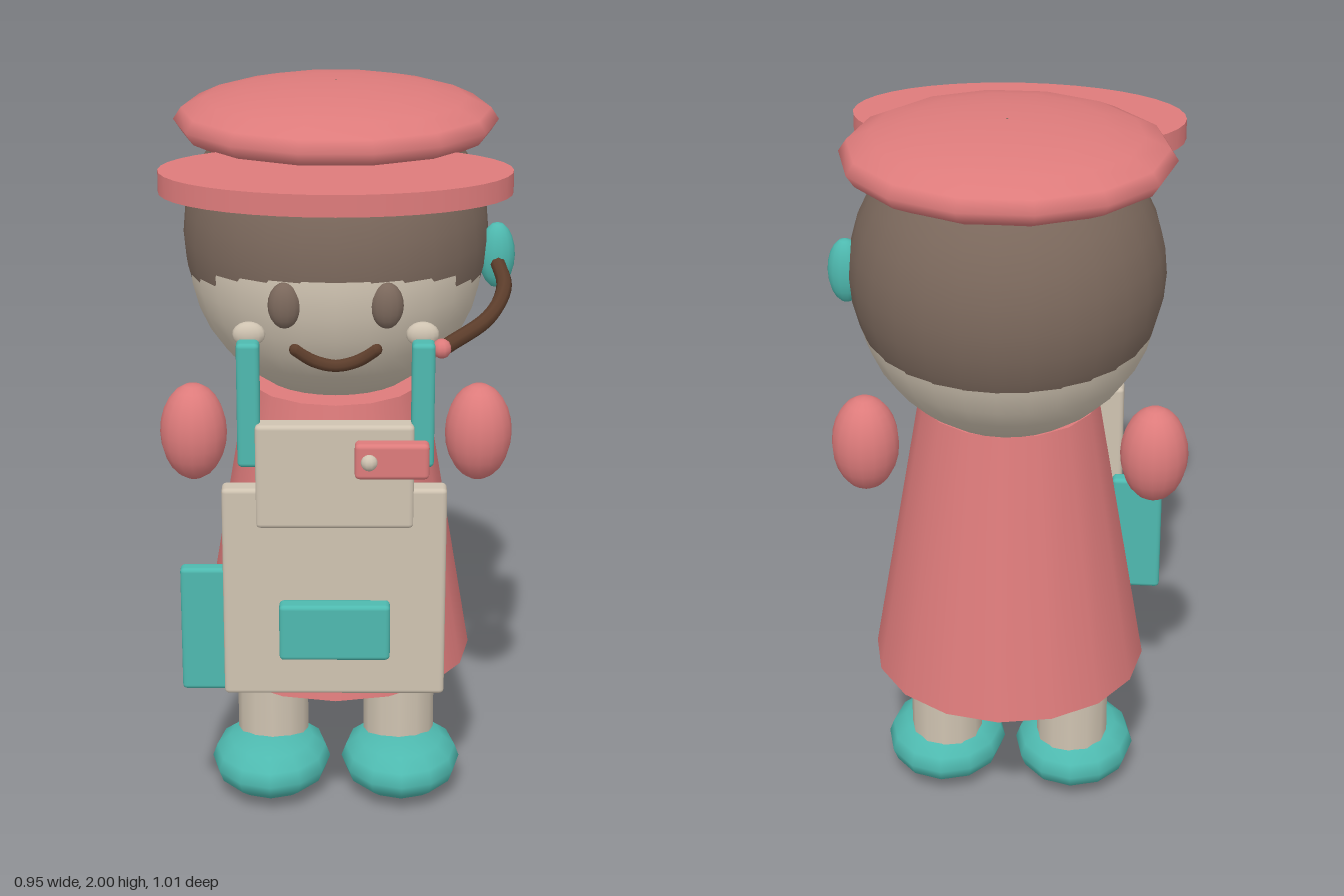
import * as THREE from 'three';
import { RoundedBoxGeometry } from 'three/addons/geometries/RoundedBoxGeometry.js';

const mat = (name, color) => {
  const m = new THREE.MeshStandardMaterial({ color });
  m.name = name;
  return m;
};

export function createModel() {
  const model = new THREE.Group();
  model.name = 'capFigure';

  const red = mat('coral', 0xdd7b7b);
  const teal = mat('teal', 0x4eb9af);
  const cream = mat('cream', 0xcfc3b1);
  const hairBrown = mat('hair brown', 0x7b685c);
  const darkBrown = mat('dark brown', 0x5c3d2b);

  const add = (name, geometry, material, x = 0, y = 0, z = 0) => {
    const mesh = new THREE.Mesh(geometry, material);
    mesh.name = name;
    mesh.position.set(x, y, z);
    model.add(mesh);
    return mesh;
  };
  // Ellipsoid given by its centre and three radii
  const ball = (name, material, [x, y, z], [rx, ry, rz], seg = 14, rows = 10) =>
    add(name, new THREE.SphereGeometry(1, seg, rows).scale(rx, ry, rz), material, x, y, z);
  // Soft-edged box given by its ranges along x, y and z
  const slab = (name, material, [x0, x1], [y0, y1], [z0, z1]) =>
    add(name, new RoundedBoxGeometry(x1 - x0, y1 - y0, z1 - z0, 2, 0.012), material,
      (x0 + x1) / 2, (y0 + y1) / 2, (z0 + z1) / 2);
  const tube = (name, points, radius) => {
    const curve = new THREE.CatmullRomCurve3(points.map((p) => new THREE.Vector3(...p)));
    add(name, new THREE.TubeGeometry(curve, 16, radius, 8), darkBrown);
    // Rounded tube ends
    for (const p of [points[0], points[points.length - 1]]) {
      ball(name + 'End', darkBrown, p, [radius, radius, radius], 8, 6);
    }
  };

  // Head, with the hair sphere shifted up and back so the two meet in a hairline
  ball('head', cream, [0, 1.55, -0.1], [0.388, 0.388, 0.388], 28, 18);
  ball('hair', hairBrown, [0, 1.6, -0.11], [0.4, 0.4, 0.397], 28, 18);

  // Cap
  ball('capCrown', red, [0, 1.9, -0.105], [0.42, 0.1, 0.372], 14, 10);
  add('capBrim', new THREE.CylinderGeometry(1, 1, 0.055, 40).scale(0.435, 1, 0.232), red, 0, 1.837, 0.268);

  // Dress
  add('dress', new THREE.CylinderGeometry(0.235, 0.367, 0.785, 16), red, 0, 0.822, -0.062);

  // Paired parts
  for (const [side, s] of [['left', 1], ['right', -1]]) {
    ball(side + 'Arm', red, [s * 0.383, 1.055, -0.06], [0.09, 0.135, 0.09], 16, 12);
    add(side + 'Leg', new THREE.CylinderGeometry(0.098, 0.098, 0.4, 12), cream, s * 0.176, 0.3, -0.062);
    ball(side + 'Shoe', teal, [s * 0.181, 0.092, -0.018], [0.165, 0.09, 0.193], 12, 8);
    ball(side + 'Eye', hairBrown, [s * 0.128, 1.515, 0.262], [0.042, 0.06, 0.032]);
    ball(side + 'Cheek', cream, [s * 0.219, 1.43, 0.235], [0.042, 0.033, 0.022]);
    slab(side + 'Strap', teal, [s * 0.219 - 0.029, s * 0.219 + 0.029], [1.11, 1.44], [0.295, 0.345]);
  }

  // Smile
  tube('mouth', [[-0.1, 1.39, 0.238], [-0.055, 1.36, 0.236], [0, 1.347, 0.235],
    [0.055, 1.36, 0.236], [0.1, 1.39, 0.238]], 0.018);

  // Apron with bib, pockets and name badge
  slab('apron', cream, [-0.29, 0.283], [0.475, 1.055], [0.295, 0.353]);
  slab('apronBib', cream, [-0.203, 0.198], [0.95, 1.23], [0.305, 0.362]);
  slab('frontPocket', teal, [-0.145, 0.14], [0.595, 0.75], [0.35, 0.4]);
  slab('sidePocket', teal, [-0.405, -0.265], [0.45, 0.8], [0.235, 0.278]);
  slab('badge', red, [0.048, 0.235], [1.1, 1.195], [0.358, 0.402]);
  ball('badgeStud', cream, [0.084, 1.148, 0.4], [0.022, 0.022, 0.02], 10, 8);

  // Headset
  ball('earpiece', teal, [0.42, 1.552, -0.052], [0.047, 0.088, 0.04]);
  tube('microphoneArm', [[0.42, 1.54, -0.03], [0.432, 1.505, 0.075], [0.385, 1.462, 0.2], [0.275, 1.422, 0.305]], 0.02);
  ball('microphoneTip', red, [0.264, 1.42, 0.315], [0.025, 0.025, 0.025], 10, 8);

  return model;
}
